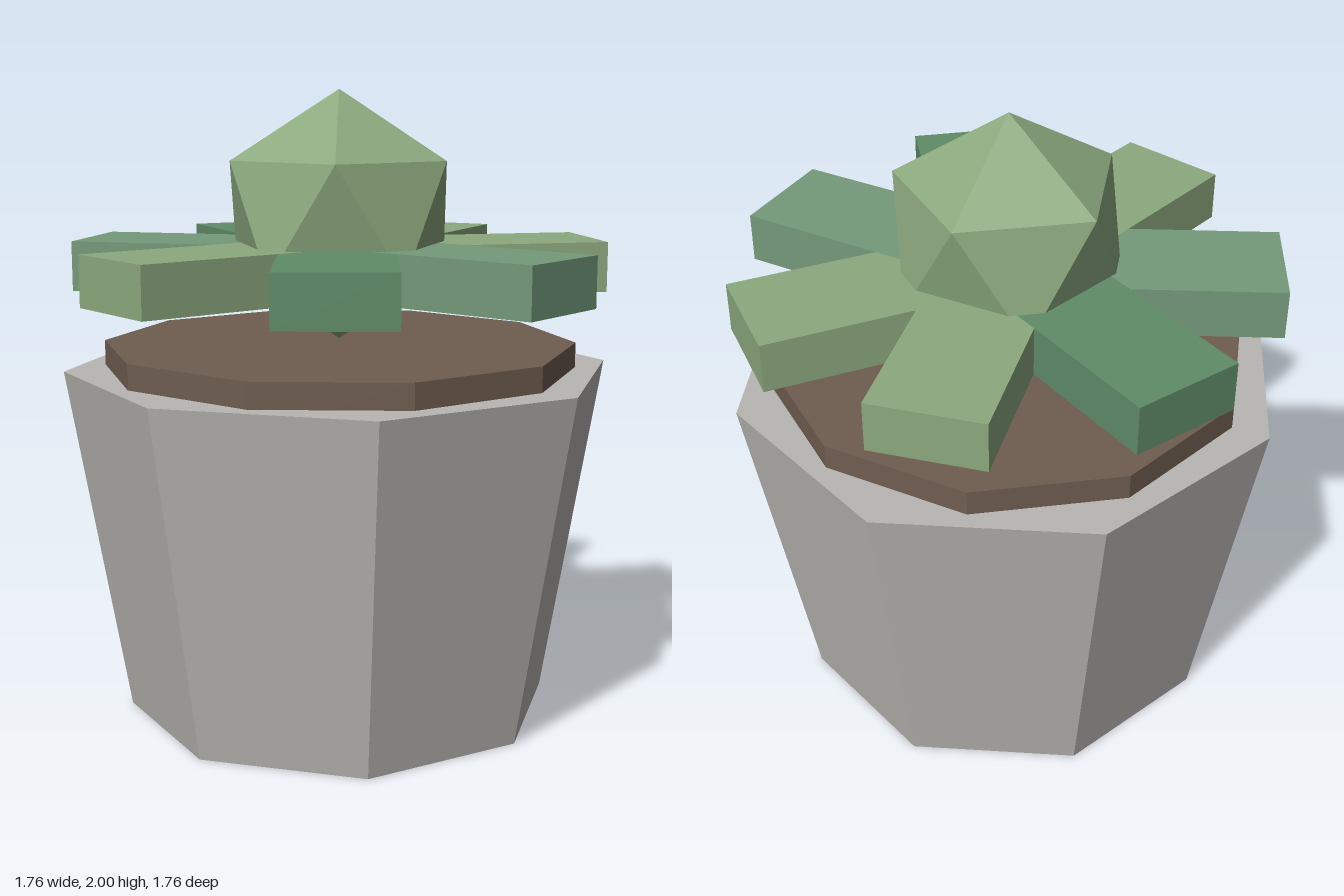
import * as THREE from 'three';

const mat = (color) => new THREE.MeshStandardMaterial({ color, flatShading: true });

export function createModel() {
  const model = new THREE.Group();
  const add = (name, geometry, material, y) => {
    const mesh = new THREE.Mesh(geometry, material);
    mesh.name = name;
    mesh.position.y = y;
    model.add(mesh);
    return mesh;
  };

  // Tapered eight-sided pot with a ten-sided soil disc on top
  add('pot', new THREE.CylinderGeometry(0.88, 0.69, 1.12, 8), mat(0xb8b6b2), 0.56);
  add('soil', new THREE.CylinderGeometry(0.76, 0.76, 0.16, 10), mat(0x6f5d50), 1.12);

  // Faceted plant core, turned so that one corner points straight up
  const core = new THREE.IcosahedronGeometry(0.395, 0);
  core.rotateZ(-Math.atan(2 / (1 + Math.sqrt(5))));
  add('plantCore', core, mat(0x8ca97e), 1.605);

  // Ring of seven block leaves in three greens
  const greens = [0x8ca97e, 0x608c68, 0x74997a].map(mat);
  const leaf = new THREE.BoxGeometry(0.6, 0.16, 0.355);
  leaf.translate(0.54, 0, 0);
  for (let i = 0; i < 7; i++) {
    const mesh = add('leaf' + (i + 1), leaf, greens[i % 3], 1.44);
    mesh.rotation.y = 0.2 + (i * Math.PI * 2) / 7;
  }

  return model;
}
